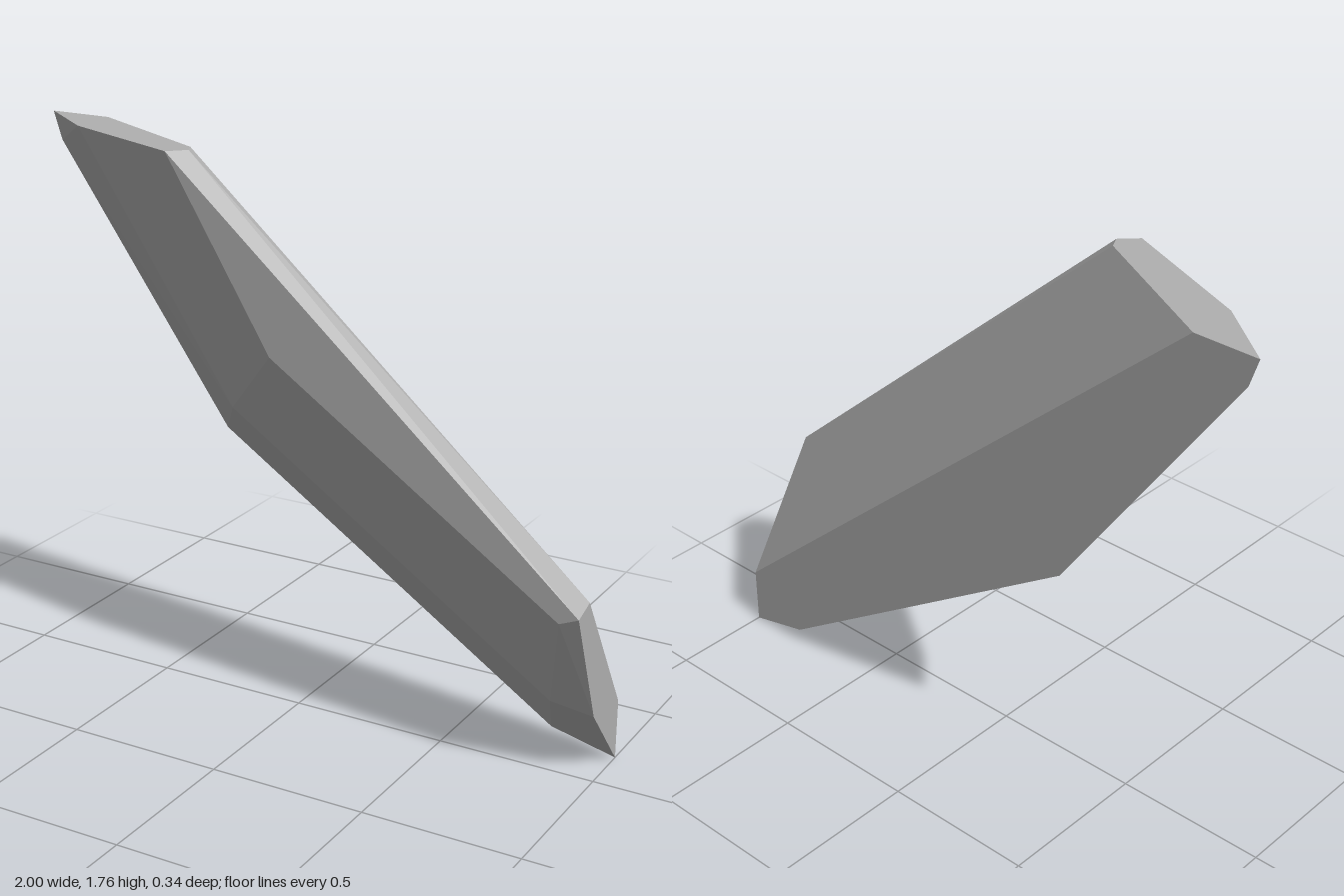
import * as THREE from 'three';
import { ConvexGeometry } from 'three/addons/geometries/ConvexGeometry.js';

export function createModel() {
  const group = new THREE.Group();
  group.name = 'rockShard';
  const stone = new THREE.MeshStandardMaterial({ color: 0xb0b0b0 });
  stone.name = 'grey stone';

  // Corners of the faceted slab, layer by layer from back to front
  const back = [[-1, 1.76], [-0.97, 1.67], [-0.36, 0.81], [0.79, 0.05], [1, 0], [1, 0.19], [-0.79, 1.76]]
    .map(([x, y]) => [x, y, -0.17]);
  const bevel = [[-0.79, 1.76, -0.01], [-0.23, 0.95, 0.007], [0.86, 0.235, 0.017], [1, 0.22, 0.02]];
  const upperEdge = [[-0.32, 1.76, 0.08], [-0.3, 1.76, 0.12], [1, 0.61, 0.095]];
  const front = [[-0.35, 1.76], [0, 1.19], [0.94, 0.56], [1, 0.585]].map(([x, y]) => [x, y, 0.17]);

  const corners = [...back, ...bevel, ...upperEdge, ...front].map((p) => new THREE.Vector3(...p));
  const shard = new THREE.Mesh(new ConvexGeometry(corners), stone);
  shard.name = 'shard';
  group.add(shard);
  return group;
}
